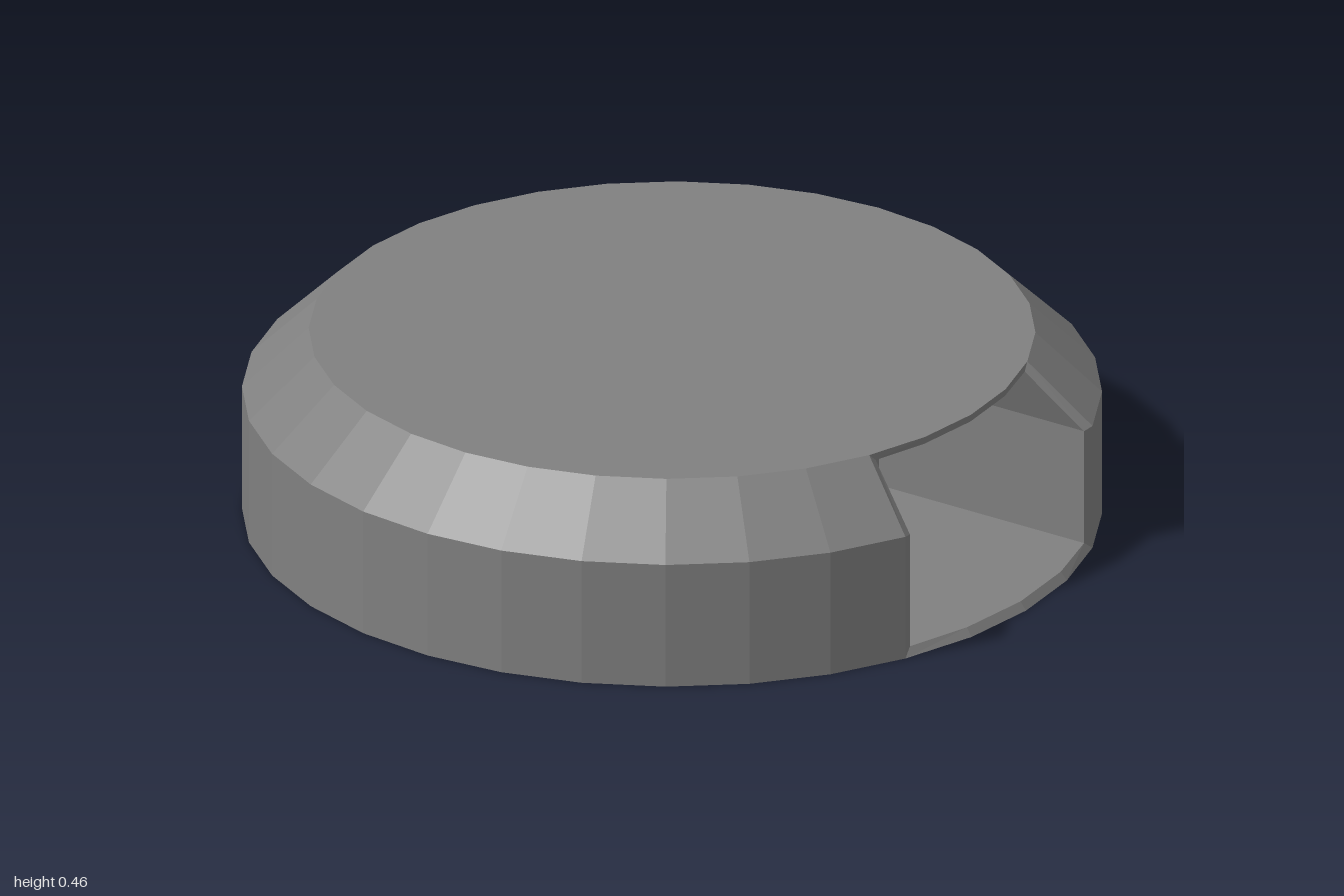
import * as THREE from 'three';

const SIDES = 32;
const STEP = 360 / SIDES;
const NOTCH_START = 2, NOTCH_END = 6; // facets left open for the notch

const polar = (r, y, deg) => {
  const a = THREE.MathUtils.degToRad(deg);
  return new THREE.Vector3(r * Math.cos(a), y, r * Math.sin(a));
};

// One row of points for each [radius, height] of a profile
const rows = (profile, angles) => profile.map(([r, y]) => angles.map((a) => polar(r, y, a)));

// Collects quads, corners counter-clockwise from outside
class Quads {
  positions = [];
  quad(a, b, c, d) {
    for (const p of [a, b, c, a, c, d]) this.positions.push(p.x, p.y, p.z);
  }
  // Band between a lower and an upper row
  strip(low, high) {
    for (let j = 0; j + 1 < low.length; j++) this.quad(low[j + 1], low[j], high[j], high[j + 1]);
  }
  // Four-sided frame leading from an outer opening to an inner one
  frame(outer, inner) {
    const top = outer.length - 1, end = outer[0].length - 1;
    this.strip(outer[0], inner[0]);
    this.strip(inner[top], outer[top]);
    for (let k = 0; k < top; k++) {
      this.quad(inner[k][0], outer[k][0], outer[k + 1][0], inner[k + 1][0]);
      this.quad(outer[k][end], inner[k][end], inner[k + 1][end], outer[k + 1][end]);
    }
  }
  wall(grid) {
    for (let k = 0; k + 1 < grid.length; k++) this.strip(grid[k], grid[k + 1]);
  }
  geometry() {
    const g = new THREE.BufferGeometry();
    g.setAttribute('position', new THREE.Float32BufferAttribute(this.positions, 3));
    g.computeVertexNormals();
    return g;
  }
}

export function createModel() {
  const group = new THREE.Group();
  group.name = 'notchedDisc';
  const grey = new THREE.MeshStandardMaterial({ color: 0x808080, flatShading: true });
  grey.name = 'grey';
  const add = (name, geometry) => {
    const mesh = new THREE.Mesh(geometry, grey);
    mesh.name = name;
    group.add(mesh);
    return mesh;
  };

  // Side wall and sloped shoulder, running round from one notch end to the other
  const profile = [[1, 0], [1, 0.31], [0.845, 0.46]];
  const bodyAngles = [];
  for (let i = NOTCH_END; i <= SIDES + NOTCH_START; i++) bodyAngles.push(i * STEP);
  const body = new Quads();
  body.wall(rows(profile, bodyAngles));
  add('sideWall', body.geometry());

  // Flat top and base
  const top = add('topFace', new THREE.CircleGeometry(0.845, SIDES).rotateX(-Math.PI / 2));
  top.position.y = 0.46;
  add('baseFace', new THREE.CircleGeometry(1, SIDES).rotateX(Math.PI / 2));

  // Notch: narrow bevelled rim, then a pocket pushed straight in towards the centre
  const openAngles = [];
  for (let i = NOTCH_START; i <= NOTCH_END; i++) openAngles.push(i * STEP);
  const rimAngles = [...openAngles];
  rimAngles[0] += 1.3;
  rimAngles[rimAngles.length - 1] -= 1.3;
  const opening = rows(profile, openAngles);
  const rim = rows([[0.985, 0.02], [0.985, 0.305], [0.843, 0.442]], rimAngles);
  const push = new THREE.Vector3(-0.41, 0, -0.41);
  const back = rim.map((row) => row.map((p) => p.clone().add(push)));

  const bevel = new Quads();
  bevel.frame(opening, rim);
  add('notchRim', bevel.geometry());

  const pocket = new Quads();
  pocket.frame(rim, back);
  pocket.wall(back);
  add('notchPocket', pocket.geometry());

  return group;
}
